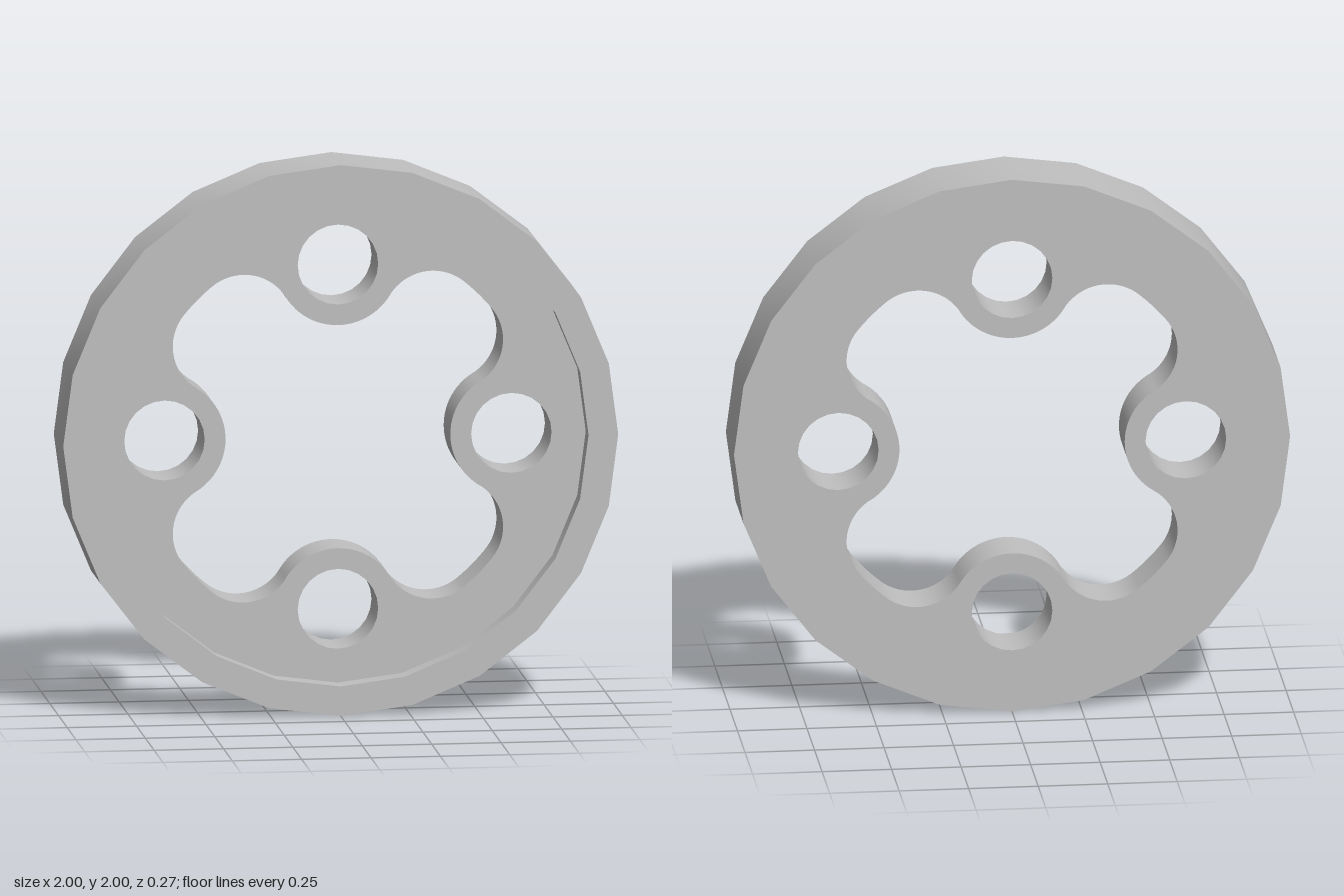
import * as THREE from 'three';
import { toCreasedNormals } from 'three/addons/utils/BufferGeometryUtils.js';

const SIDES = 24;
const OUTER = 1, INNER = 0.893;     // rim radii
const BACK = -0.135, FLOOR = 0.055, FRONT = 0.135; // z levels
const BOSS_DIST = 0.625, BOSS_R = 0.22, HOLE_R = 0.145;
const FILLET_R = 0.18, FILLET_X = 0.415, FILLET_Y = 0.34; // concave corners beside each boss

function polygon(radius) {
  return Array.from({ length: SIDES }, (_, i) => {
    const a = (i / SIDES) * Math.PI * 2;
    return new THREE.Vector2(Math.cos(a) * radius, Math.sin(a) * radius);
  });
}

function extrude(shape, z0, z1) {
  const geometry = new THREE.ExtrudeGeometry(shape, { depth: z1 - z0, bevelEnabled: false, curveSegments: 12 });
  geometry.translate(0, 0, z0);
  return toCreasedNormals(geometry, 0.6);
}

// Central opening: four bosses reach inward, blended by fillets
function openingPath() {
  const path = new THREE.Path();
  const outward = Math.atan2(FILLET_Y, FILLET_X);
  const toBoss = Math.atan2(FILLET_Y, BOSS_DIST - FILLET_X);
  const reach = Math.hypot(FILLET_X, FILLET_Y);
  for (let i = 0; i < 4; i++) {
    const t = (i * Math.PI) / 2;
    const at = (d, a) => [d * Math.cos(t + a), d * Math.sin(t + a)];
    path.absarc(...at(reach, -outward), FILLET_R, t - outward, t + toBoss, false);
    path.absarc(...at(BOSS_DIST, 0), BOSS_R, t + toBoss + Math.PI, t - toBoss + Math.PI, true);
    path.absarc(...at(reach, outward), FILLET_R, t - toBoss, t + outward, false);
    path.absarc(0, 0, reach + FILLET_R, t + outward, t + Math.PI / 2 - outward, false);
  }
  return path;
}

export function createModel() {
  const group = new THREE.Group();
  group.name = 'slottedWheel';
  const grey = new THREE.MeshStandardMaterial({ color: 0xc0c0c0 });
  grey.name = 'grey';

  // Raised outer rim
  const rimShape = new THREE.Shape(polygon(OUTER));
  rimShape.holes.push(new THREE.Path(polygon(INNER)));
  const rim = new THREE.Mesh(extrude(rimShape, BACK, FRONT), grey);
  rim.name = 'rim';

  // Recessed web with the central opening and four pin holes
  const webShape = new THREE.Shape(polygon(INNER));
  webShape.holes.push(openingPath());
  for (let i = 0; i < 4; i++) {
    const a = (i * Math.PI) / 2;
    webShape.holes.push(new THREE.Path().absarc(
      Math.cos(a) * BOSS_DIST, Math.sin(a) * BOSS_DIST, HOLE_R, 0, Math.PI * 2, true));
  }
  const web = new THREE.Mesh(extrude(webShape, BACK, FLOOR), grey);
  web.name = 'web';

  group.add(rim, web);
  group.children.forEach((mesh) => { mesh.position.y = OUTER; });
  return group;
}
